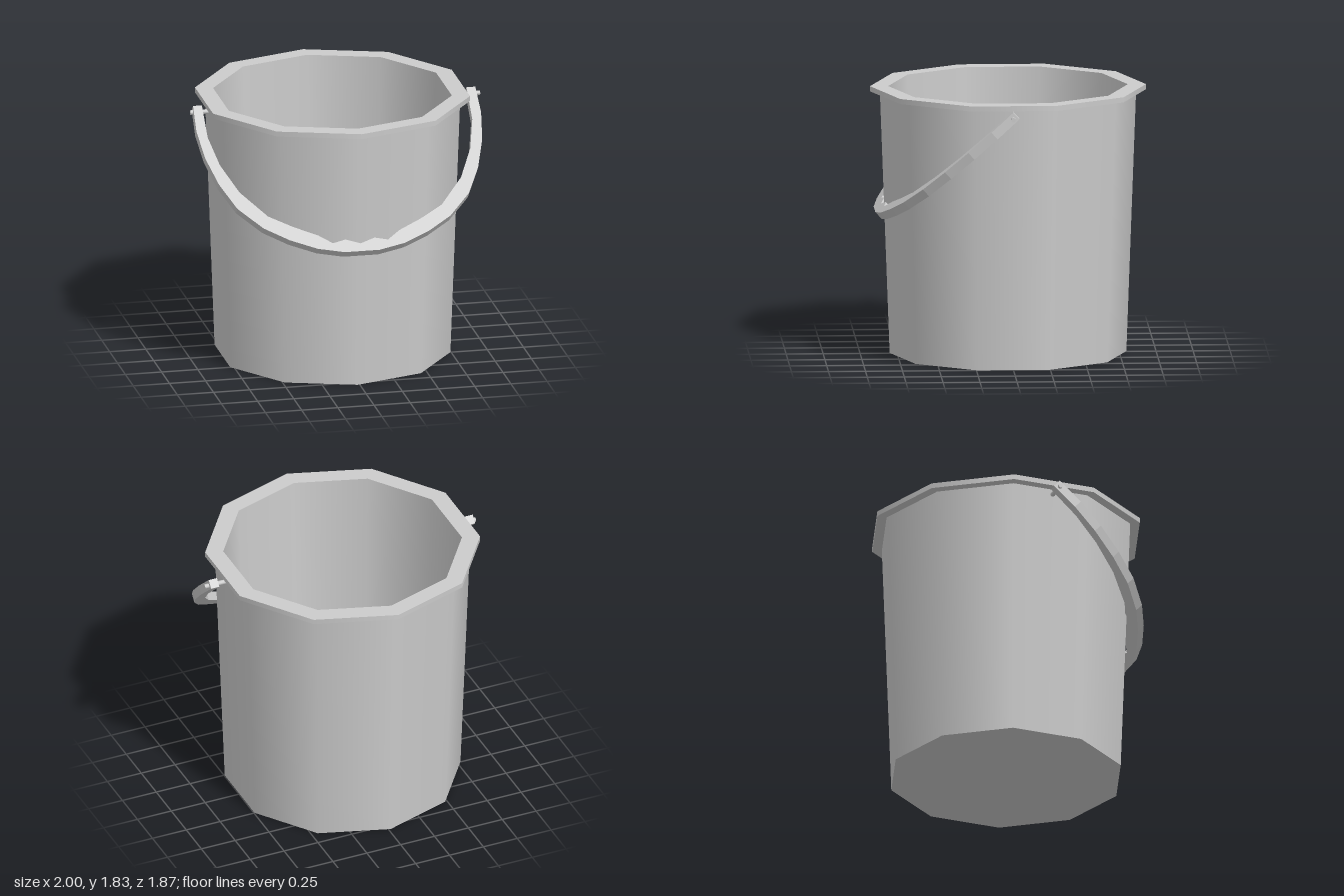
import * as THREE from 'three';

const grey = new THREE.MeshStandardMaterial({ color: 0xcccccc });

function addMesh(parent, name, geometry) {
  const mesh = new THREE.Mesh(geometry, grey);
  mesh.name = name;
  parent.add(mesh);
  return mesh;
}

// One ten-sided ring between two [radius, height] points
function ring(parent, name, from, to) {
  const points = [new THREE.Vector2(...from), new THREE.Vector2(...to)];
  return addMesh(parent, name, new THREE.LatheGeometry(points, 10));
}

export function createModel() {
  const model = new THREE.Group();
  model.name = 'bucket';

  // Bucket body: separate rings keep the rim and floor edges sharp
  const body = new THREE.Group();
  body.name = 'body';
  body.position.x = -0.015;
  model.add(body);
  const profile = [
    [0, 0], [0.8, 0], [0.866, 1.79], [0.933, 1.79],
    [0.933, 1.825], [0.81, 1.825], [0.742, 0.04], [0, 0.04],
  ];
  const names = ['base', 'outerWall', 'rimUnderside', 'rimEdge', 'rimTop', 'innerWall', 'floor'];
  names.forEach((name, i) => ring(body, name, profile[i], profile[i + 1]));

  // Handle: half outline of a flat bow, mirrored, with a wavy grip inside
  const outer = [
    [0.975, 0], [0.983, 0.2], [0.957, 0.41], [0.895, 0.62], [0.8, 0.815],
    [0.645, 0.98], [0.48, 1.085], [0.3, 1.165], [0.12, 1.205],
  ];
  const inner = [
    [0, 1.145], [0.1, 1.108], [0.19, 1.13], [0.28, 1.063], [0.44, 0.985],
    [0.6, 0.89], [0.765, 0.69], [0.865, 0.47], [0.914, 0.25], [0.914, 0],
  ];
  const mirror = (points) => points.map(([x, v]) => [-x, v]).reverse();
  const outline = [...outer, ...mirror(outer), ...mirror(inner.slice(1)), ...inner];
  const shape = new THREE.Shape(outline.map(([x, v]) => new THREE.Vector2(x, -v)));
  const handle = addMesh(model, 'handle',
    new THREE.ExtrudeGeometry(shape, { depth: 0.062, bevelEnabled: false }));
  handle.position.set(-0.006, 1.75, -0.03);
  handle.rotation.x = -0.832;

  // Pivot pins through the handle ends
  for (const side of [1, -1]) {
    const pin = addMesh(model, side > 0 ? 'leftPin' : 'rightPin',
      new THREE.CylinderGeometry(0.016, 0.016, 0.155, 12));
    pin.rotation.z = Math.PI / 2;
    pin.position.set(side * 0.9225, 1.75, 0.012);
  }
  return model;
}
